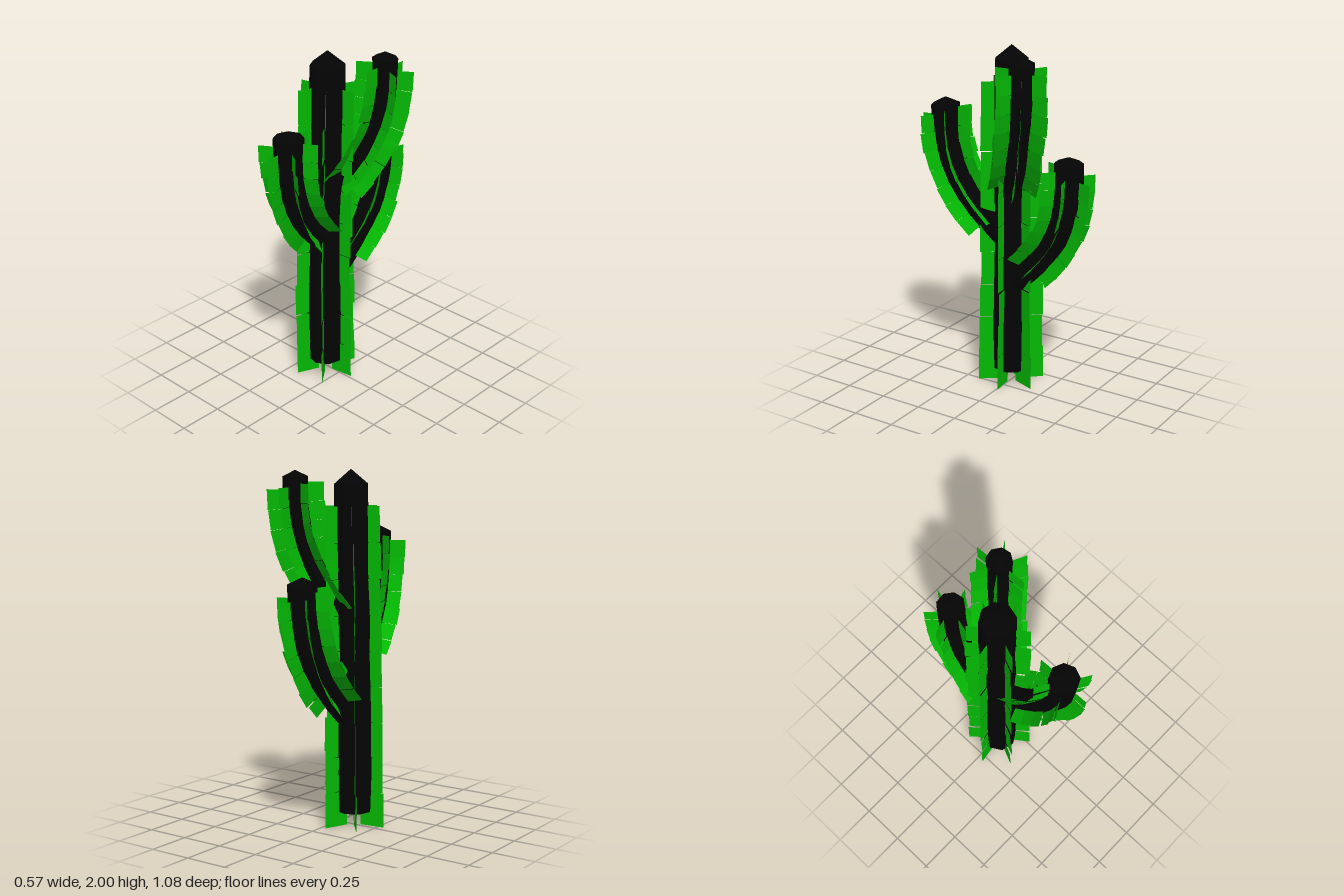
import * as THREE from 'three';

const UP = new THREE.Vector3(0, 1, 0);
const V = (x, y, z) => new THREE.Vector3(x, y, z);

// Small seeded generator for the uneven growth, returning -1..1
function makeJitter(seed) {
  return () => {
    seed = (seed * 16807) % 2147483647;
    return (seed / 2147483647) * 2 - 1;
  };
}

// Point on a stem and its radial directions; angle 0 is the outward side.
// Beyond the ends the stem continues straight.
function frameAt(curve, u, out) {
  const v = THREE.MathUtils.clamp(u, 0, 1);
  const t = curve.getTangentAt(v);
  const p = curve.getPointAt(v).addScaledVector(t, (u - v) * curve.getLength());
  const n = out.clone().addScaledVector(t, -out.dot(t)).normalize();
  const b = t.clone().cross(n);
  const radial = (a) => n.clone().multiplyScalar(Math.cos(a)).addScaledVector(b, Math.sin(a));
  return { p, radial };
}

function buildGeometry(points, idx) {
  const g = new THREE.BufferGeometry().setFromPoints(points);
  g.setIndex(idx);
  g.computeVertexNormals();
  return g;
}

// Eight-sided stem from rings, closed below and pointed at the top
function stemGeometry(curve, s, jitter) {
  const sides = 8, rings = 8, points = [], idx = [];
  for (let i = 0; i <= rings; i++) {
    const u = i / rings;
    const f = frameAt(curve, u, s.out);
    const r = THREE.MathUtils.lerp(...s.radius, u) * (i < rings ? 1 + 0.05 * jitter() : 1);
    for (let j = 0; j < sides; j++) {
      points.push(f.p.clone().addScaledVector(f.radial((j / sides) * Math.PI * 2), r));
    }
  }
  for (let i = 0; i < rings; i++) {
    for (let j = 0; j < sides; j++) {
      const a = i * sides + j, b = i * sides + (j + 1) % sides;
      idx.push(a, b, b + sides, a, b + sides, a + sides);
    }
  }
  const c0 = points.length, c1 = c0 + 1, last = rings * sides;
  points.push(curve.getPointAt(0), curve.getPointAt(1).addScaledVector(UP, s.tip));
  for (let j = 0; j < sides; j++) {
    const k = (j + 1) % sides;
    idx.push(c0, k, j, c1, last + j, last + k);
  }
  return buildGeometry(points, idx);
}

// Six radial rows of cards following a stem, each card slightly uneven
function finGeometry(curve, s, jitter) {
  const points = [], idx = [], inner = 0.045;
  for (let k = 0; k < 6; k++) {
    const angle = k * Math.PI / 3;
    const slant = s.slant * Math.cos(angle);
    const start = s.u0 + slant;
    const step = (s.u1 - slant - start) / s.cards;
    for (let i = 0; i < s.cards; i++) {
      const twist = 0.04 * jitter(), uneven = 0.006 * jitter();
      const c = points.length;
      for (const u of [start + step * i, start + step * (i + 0.99)]) {
        const f = frameAt(curve, u, s.out);
        const dir = f.radial(angle + twist);
        const reach = THREE.MathUtils.lerp(...s.reach, u) + uneven;
        points.push(f.p.clone().addScaledVector(dir, inner), f.p.clone().addScaledVector(dir, reach));
      }
      idx.push(c, c + 1, c + 3, c, c + 3, c + 2);
    }
  }
  return buildGeometry(points, idx);
}

const STEMS = [
  { // tall upright trunk
    name: 'trunk', out: V(0.99, 0, -0.14), radius: [0.11, 0.097], tip: 0.08,
    reach: [0.186, 0.165], cards: 9, u0: -0.0435, u1: 0.935, slant: 0,
    path: [[-0.1, 0.08, 0.01], [-0.103, 0.5, 0.01], [-0.1, 1, 0.008], [-0.09, 1.5, 0.003], [-0.085, 1.92, 0]],
  },
  { // arm curving towards the front
    name: 'frontArm', out: V(0, 0, 1), radius: [0.078, 0.083], tip: 0.04,
    reach: [0.153, 0.159], cards: 7, u0: 0.145, u1: 0.955, slant: 0.035,
    path: [[-0.08, 0.9, 0.03], [-0.06, 0.98, 0.13], [-0.04, 1.1, 0.24], [-0.02, 1.25, 0.325],
      [-0.005, 1.42, 0.375], [0, 1.64, 0.385]],
  },
  { // arm curving towards the back, lowest of the three
    name: 'backArm', out: V(0.26, 0, -0.97), radius: [0.074, 0.081], tip: 0.035,
    reach: [0.153, 0.156], cards: 7, u0: 0.175, u1: 0.935, slant: 0.035,
    path: [[-0.09, 0.62, -0.02], [-0.08, 0.73, -0.13], [-0.07, 0.86, -0.25], [-0.06, 1.02, -0.34],
      [-0.05, 1.2, -0.385], [-0.045, 1.4, -0.392]],
  },
  { // high arm curving to the left and back
    name: 'leftArm', out: V(0.84, 0, -0.545), radius: [0.066, 0.07], tip: 0.035,
    reach: [0.154, 0.156], cards: 7, u0: 0.09, u1: 0.945, slant: 0.025,
    path: [[-0.08, 1.17, 0], [0, 1.3, -0.075], [0.07, 1.45, -0.135], [0.12, 1.63, -0.185],
      [0.14, 1.8, -0.203], [0.142, 1.96, -0.205]],
  },
];

export function createModel() {
  const model = new THREE.Group();
  model.name = 'cactus';
  const stemMaterial = new THREE.MeshStandardMaterial({ color: 0x040404, flatShading: true });
  const finMaterial = new THREE.MeshStandardMaterial({ color: 0x04b804, flatShading: true, side: THREE.DoubleSide });

  STEMS.forEach((s, i) => {
    const jitter = makeJitter(1237 + i * 911);
    const curve = new THREE.CatmullRomCurve3(s.path.map((p) => V(...p)));
    const group = new THREE.Group();
    group.name = s.name;

    const stem = new THREE.Mesh(stemGeometry(curve, s, jitter), stemMaterial);
    stem.name = s.name + 'Stem';

    const fins = new THREE.Mesh(finGeometry(curve, s, jitter), finMaterial);
    fins.name = s.name + 'Fins';

    group.add(stem, fins);
    model.add(group);
  });

  return model;
}
